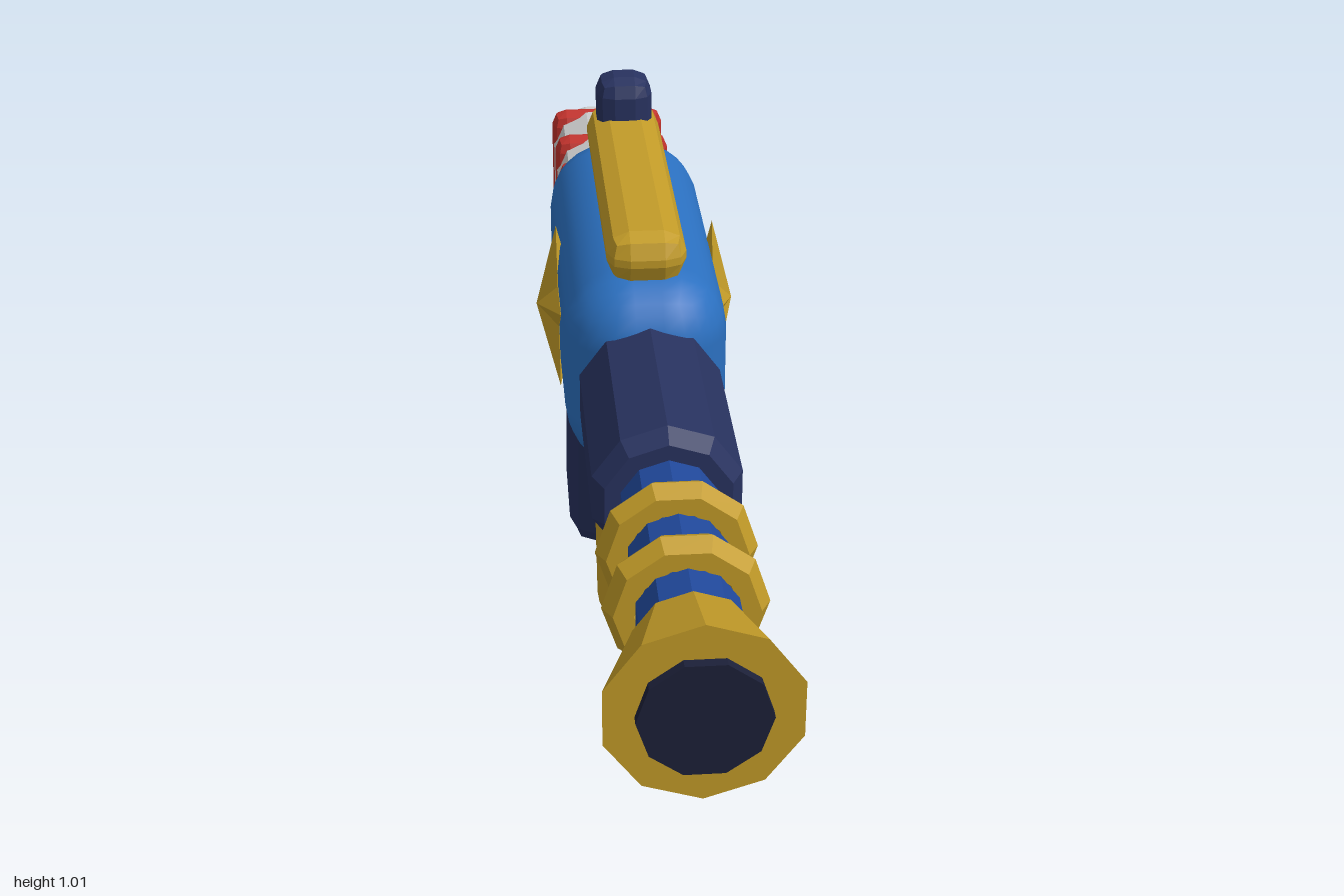
import * as THREE from 'three';
import { RoundedBoxGeometry } from 'three/addons/geometries/RoundedBoxGeometry.js';

const AXIS_Y = 0.68; // height of the barrel axis

export function createModel() {
  const group = new THREE.Group();
  const mat = (color, flatShading = true) => new THREE.MeshStandardMaterial({ color, flatShading });
  const blue = mat(0x2b70c0, false);
  const barrelBlue = mat(0x20489a);
  const navy = mat(0x28325f);
  const gold = mat(0xc29b28);
  const red = mat(0xc0322c);
  const grey = mat(0xcccccc);
  const dark = mat(0x1c2038);

  const add = (name, geometry, material, x, y, z, tilt = 0) => {
    const mesh = new THREE.Mesh(geometry, material);
    mesh.name = name;
    mesh.position.set(x, y, z);
    mesh.rotation.x = tilt;
    group.add(mesh);
    return mesh;
  };

  // Rounded block, enlarged so that its coarse facets reach the full size
  const block = (w, h, d, r, segments = 1) => {
    const n = 2 * segments + 1;
    const grow = 2 * r * (1 - 1 / Math.sqrt(1 + 2 / (n * n)));
    return new RoundedBoxGeometry(w + grow, h + grow, d + grow, segments, r);
  };

  // Ten-sided cylinder along z, from z0 (radius r0) to z1 (radius r1)
  const tube = (name, r0, r1, z0, z1, material, turn = 0) => {
    const g = new THREE.CylinderGeometry(r1, r0, z1 - z0, 10);
    g.rotateY(turn);
    g.rotateX(Math.PI / 2);
    return add(name, g, material, 0, AXIS_Y, (z0 + z1) / 2);
  };

  // Main body
  add('body', block(0.26, 0.355, 0.7, 0.11, 3), blue, 0, 0.682, -0.205);

  // Barrel housing with bevelled ends
  const housing = new THREE.LatheGeometry(
    [[0, 0.1], [0.1, 0.1], [0.118, 0.13], [0.118, 0.445], [0.1, 0.473], [0, 0.473]]
      .map(([r, z]) => new THREE.Vector2(r, z)), 10);
  housing.rotateX(Math.PI / 2);
  add('barrelHousing', housing, navy, 0, AXIS_Y, 0);

  // Barrel, rings, flared muzzle and bore
  tube('barrel', 0.075, 0.075, 0.44, 0.85, barrelBlue);
  for (const z of [0.595, 0.735]) {
    add('barrelRing', new THREE.TorusGeometry(0.088, 0.029, 6, 10), gold, 0, AXIS_Y, z);
  }
  tube('muzzle', 0.085, 0.138, 0.83, 0.985, gold);
  tube('bore', 0.09, 0.09, 0.95, 1.0, dark, Math.PI / 10);

  // Top rail and sight
  add('topRail', block(0.12, 0.078, 0.595, 0.036), gold, 0, 0.891, -0.202);
  add('sight', block(0.09, 0.11, 0.09, 0.03), navy, 0, 0.945, -0.442);

  // Grips and trigger
  add('rearGrip', block(0.2, 0.525, 0.215, 0.05), navy, 0, 0.268, -0.53, 0.26);
  add('frontGrip', block(0.15, 0.38, 0.175, 0.065), gold, 0, 0.353, 0, -0.28);
  add('trigger', block(0.06, 0.18, 0.05, 0.024), red, 0, 0.412, -0.283, -0.35);

  // Rear tank with bands
  add('tank', block(0.2, 0.27, 0.435, 0.065), grey, 0, 0.603, -0.782);
  for (const z of [-0.66, -0.79, -0.92]) {
    add('tankBand', block(0.212, 0.282, 0.056, 0.028), red, 0, 0.603, z);
  }

  // Side stars: a ten-sided double pyramid with every other corner drawn in
  const star = new THREE.SphereGeometry(1, 10, 2);
  const p = star.attributes.position;
  for (let i = 0; i < p.count; i++) {
    const corner = Math.abs(Math.round(Math.atan2(p.getZ(i), p.getX(i)) / (Math.PI / 5)));
    const s = corner % 2 ? 0.4 : 1;
    if (Math.abs(p.getY(i)) < 0.5) p.setXYZ(i, p.getX(i) * s, 0, p.getZ(i) * s);
  }
  star.scale(0.145, 0.036, 0.145);
  star.rotateZ(Math.PI / 2);
  for (const side of [1, -1]) {
    add(side > 0 ? 'leftStar' : 'rightStar', star, gold, side * 0.133, AXIS_Y, -0.203);
  }

  return group;
}
